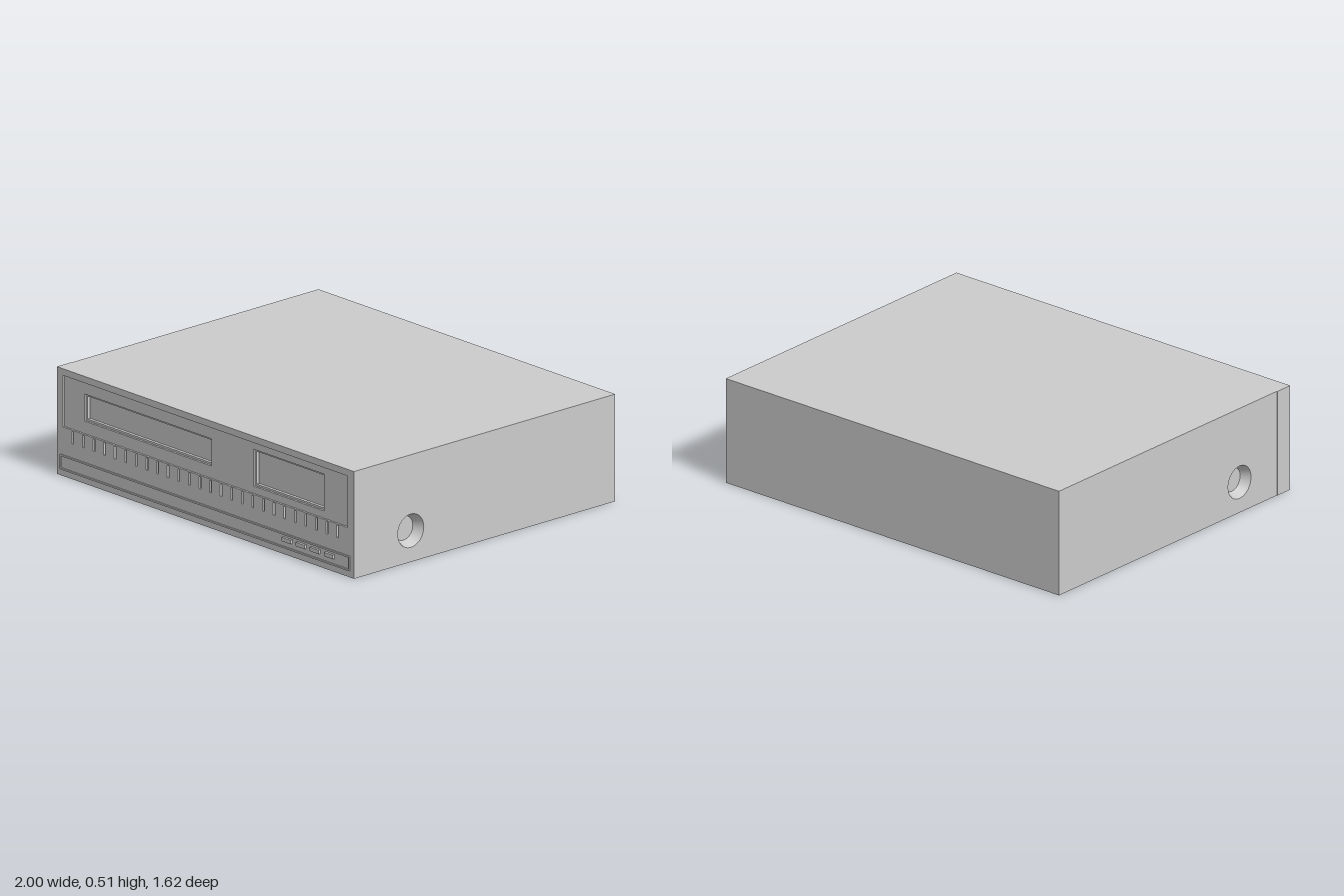
import * as THREE from 'three';

const H = 0.515, BACK = -0.81, SEAM = 0.71, FRONT = 0.8;
const mat = new THREE.MeshStandardMaterial({ color: 0xcccccc, side: THREE.DoubleSide });

function add(group, name, geometry) {
  const mesh = new THREE.Mesh(geometry, mat);
  mesh.name = name;
  group.add(mesh);
  return mesh;
}

// Box given by its lower and upper limits
function box(x0, x1, y0, y1, z0, z1) {
  return new THREE.BoxGeometry(x1 - x0, y1 - y0, z1 - z0)
    .translate((x0 + x1) / 2, (y0 + y1) / 2, (z0 + z1) / 2);
}

const rectPoints = ([x0, x1, y0, y1]) => [[x0, y0], [x1, y0], [x1, y1], [x0, y1]]
  .map(([x, y]) => new THREE.Vector2(x, y));

// Flat plate with rectangular openings, between two depths
function plate(rect, holes, z0, z1) {
  const shape = new THREE.Shape(rectPoints(rect));
  for (const hole of holes) shape.holes.push(new THREE.Path(rectPoints(hole)));
  return new THREE.ExtrudeGeometry(shape, { depth: z1 - z0, bevelEnabled: false }).translate(0, 0, z0);
}

const inset = ([x0, x1, y0, y1], d) => [x0 + d, x1 - d, y0 + d, y1 - d];

export function createModel() {
  const model = new THREE.Group();

  // Inner block, also the floor of the side recesses
  add(model, 'chassis', box(-0.95, 0.95, 0, H, BACK, 0.765));

  // Side walls with tapered round recesses
  const hole = { z: 0.45, y: 0.15, r: 0.08, floor: 0.058, depth: 0.05 };
  for (const side of [1, -1]) {
    const shape = new THREE.Shape(rectPoints([-SEAM, -BACK, 0, H]));
    shape.holes.push(new THREE.Path().absarc(-hole.z, hole.y, hole.r, 0, Math.PI * 2, true));
    const outer = side > 0 ? 1 : 0.997;
    const wall = new THREE.ExtrudeGeometry(shape, { depth: outer - 0.95, bevelEnabled: false, curveSegments: 32 })
      .rotateY(Math.PI / 2).translate(side > 0 ? 0.95 : -outer, 0, 0);
    add(model, side > 0 ? 'leftWall' : 'rightWall', wall);

    const cup = new THREE.LatheGeometry([
      new THREE.Vector2(hole.floor, 0.95), new THREE.Vector2(hole.r, outer),
    ], 48).rotateZ(-side * Math.PI / 2).translate(0, hole.y, hole.z);
    add(model, side > 0 ? 'leftRecess' : 'rightRecess', cup);
  }

  // Front fascia: sunken display panel and a row of narrow slots
  const panel = [-0.96, 0.957, 0.235, 0.483];
  const slots = [];
  for (let i = 0; i < 26; i++) {
    const x = -0.893 + i * 0.0713;
    slots.push([x - 0.006, x + 0.006, 0.17, 0.229]);
  }
  add(model, 'fascia', plate([-1, 1, 0, H], [panel, ...slots], 0.785, FRONT));

  // Panel behind the fascia with two window openings
  const windows = [[-0.825, 0.03, 0.295, 0.425], [0.313, 0.788, 0.27, 0.447]];
  add(model, 'displayPanel', plate([-1, 1, 0, H], windows, SEAM, 0.79));
  windows.forEach((w, i) => {
    add(model, i ? 'displayBezel' : 'tunerBezel', plate(w, [inset(w, 0.01)], 0.765, 0.78));
  });

  // Lower strip with a thin raised rim
  const strip = [-0.976, 0.972, 0.03, 0.102];
  add(model, 'lowerStripRim', plate(strip, [inset(strip, 0.008)], FRONT, 0.805));

  // Four small push buttons
  for (let i = 0; i < 4; i++) {
    const x = 0.555 + i * 0.095;
    add(model, 'pushButton', box(x - 0.03, x + 0.03, 0.064, 0.083, FRONT, 0.812));
  }
  return model;
}
